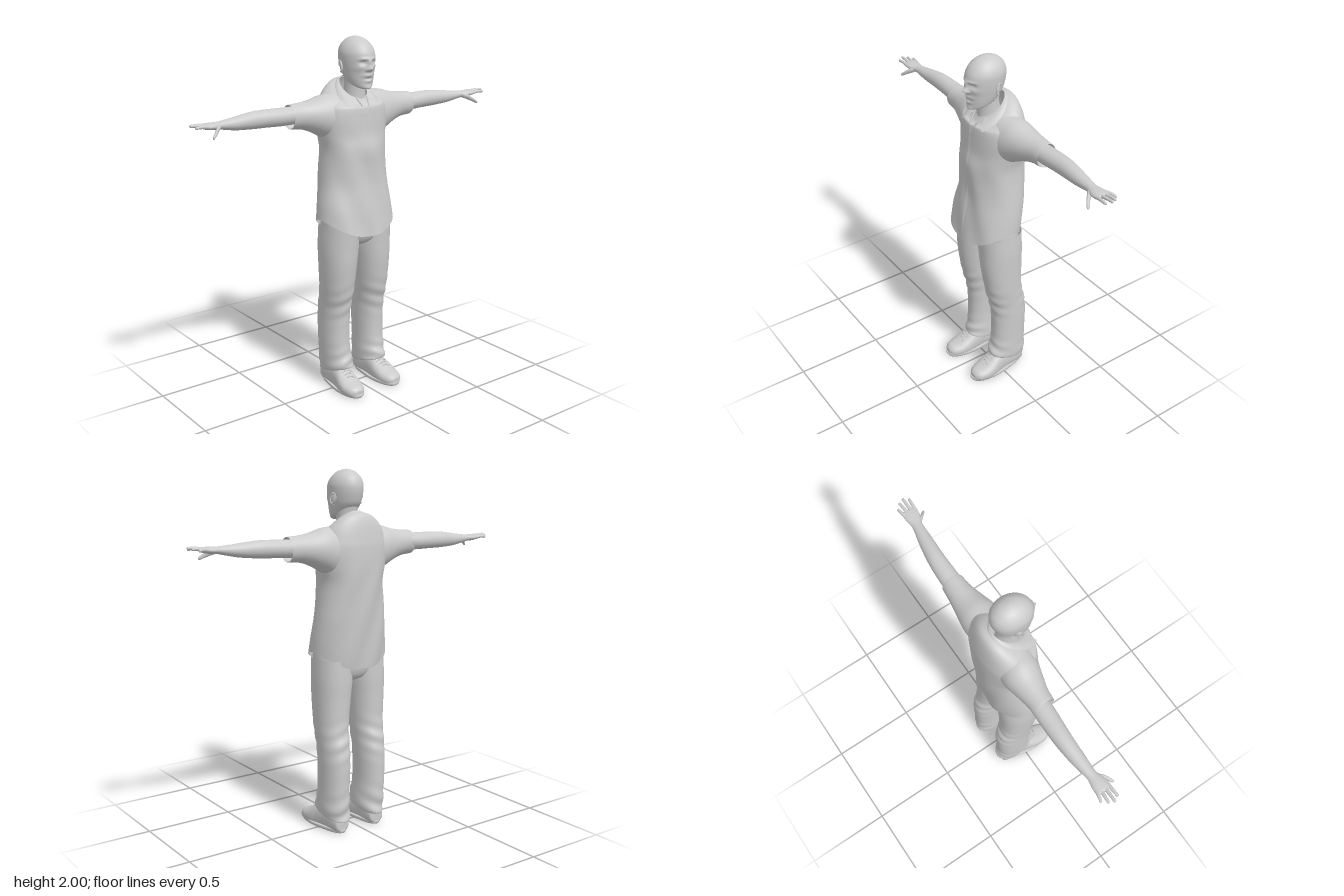
import * as THREE from 'three';

const mat = new THREE.MeshStandardMaterial({ color: 0xcccccc, side: THREE.DoubleSide });
const { smoothstep, lerp } = THREE.MathUtils;
const gauss = (d, s) => Math.exp(-((d / s) ** 2));

// Smooth value of a section list at position k (in section units)
function sample(sections, k) {
  const n = sections.length - 1;
  const i = Math.min(Math.floor(k), n - 1), f = k - i;
  const at = (j) => sections[Math.max(0, Math.min(n, j))];
  const [a, b, c, d] = [at(i - 1), at(i), at(i + 1), at(i + 2)];
  return b.map((p, m) => p + 0.5 * f * (c[m] - a[m] + f * (2 * a[m] - 5 * p + 4 * c[m] - d[m]
    + f * (3 * (p - c[m]) + d[m] - a[m]))));
}

// Grid surface from a function (u, v in 0..1) that returns [x, y, z]
function grid(nu, nv, fn, { wrap = false, flip = false } = {}) {
  const pos = [], idx = [], cols = wrap ? nv : nv + 1;
  for (let i = 0; i <= nu; i++) for (let j = 0; j < cols; j++) pos.push(...fn(i / nu, j / nv));
  for (let i = 0; i < nu; i++) for (let j = 0; j < nv; j++) {
    const k = (j + 1) % cols;
    const a = i * cols + j, b = a + cols, c = i * cols + k, d = c + cols;
    idx.push(...(flip ? [a, c, b, b, c, d] : [a, b, c, c, b, d]));
  }
  const g = new THREE.BufferGeometry();
  g.setAttribute('position', new THREE.Float32BufferAttribute(pos, 3));
  g.setIndex(idx);
  g.computeVertexNormals();
  return g;
}

function add(parent, name, geometry) {
  const mesh = new THREE.Mesh(geometry, mat);
  mesh.name = name;
  parent.add(mesh);
  return mesh;
}

// Loft of sections [t, centre1, centre2, radius1, radius2] along an axis
function loft(sections, { axis = 'y', side = 1, sub = 5, seg = 32, n = 2, cap0 = false, cap1 = false, tweak } = {}) {
  const last = sections.length - 1, rows = last * sub;
  const extra0 = cap0 ? 1 : 0, total = rows + extra0 + (cap1 ? 1 : 0);
  const pw = (v) => Math.sign(v) * Math.abs(v) ** (2 / n);
  return grid(total, seg, (u, v) => {
    const row = Math.round(u * total) - extra0;
    const shut = row < 0 || row > rows ? 0 : 1;
    const [t, c1, c2, r1, r2] = sample(sections, Math.max(0, Math.min(rows, row)) / sub);
    const th = v * Math.PI * 2;
    const p = c1 + shut * r1 * pw(Math.cos(th)), q = c2 + shut * r2 * pw(Math.sin(th));
    const w = axis === 'y' ? new THREE.Vector3(p, t, q) : axis === 'x' ? new THREE.Vector3(t, p, q) : new THREE.Vector3(p, q, t);
    if (tweak) tweak(w);
    return [w.x * side, w.y, w.z];
  }, { wrap: true, flip: (axis !== 'y') !== (side < 0) });
}

function tube(points, r, seg = 24) {
  return new THREE.TubeGeometry(new THREE.CatmullRomCurve3(points.map((p) => new THREE.Vector3(...p))), seg, r, 6);
}

const TORSO = [
  [1.02, -0.008, -0.002, 0.23, 0.163], [1.1, -0.005, -0.015, 0.223, 0.16], [1.2, 0, -0.03, 0.207, 0.155],
  [1.3, 0, -0.035, 0.195, 0.155], [1.4, 0, -0.037, 0.188, 0.157], [1.48, 0, -0.045, 0.2, 0.15],
  [1.56, 0, -0.047, 0.212, 0.146], [1.62, 0, -0.047, 0.205, 0.141], [1.665, 0, -0.045, 0.18, 0.128],
  [1.7, 0, -0.042, 0.13, 0.104], [1.725, 0, -0.03, 0.075, 0.075]];

// Curved hem, raised back of the neck and soft cloth folds
function shirtShape(v) {
  v.y -= 0.09 * Math.min(1, (v.z / 0.16) ** 2) * (1 - smoothstep(v.y, 1.02, 1.22));
  v.y -= 0.65 * (v.z + 0.03) * smoothstep(v.y, 1.62, 1.725);
  v.z += 0.004 * Math.sin(v.x * 38 + v.y * 14) * smoothstep(1.55 - v.y, 0, 0.2);
}

// Head bumps: [x, y, width, height, depth]
const FACE = [
  [0, 1.868, 0.012, 0.022, 0.012], [0, 1.838, 0.013, 0.013, 0.028], [0.014, 1.832, 0.008, 0.007, 0.011],
  [0.034, 1.868, 0.016, 0.011, -0.014], [0.034, 1.867, 0.01, 0.006, 0.006], [0.03, 1.888, 0.026, 0.008, 0.006],
  [0.05, 1.84, 0.02, 0.015, 0.004], [0, 1.806, 0.03, 0.008, 0.008], [0, 1.794, 0.024, 0.004, -0.005],
  [0, 1.784, 0.018, 0.005, 0.006], [0, 1.752, 0.03, 0.016, 0.011]];

function buildHead(g) {
  const head = [
    [1.745, 0, 0.03, 0.045, 0.06], [1.755, 0, 0.023, 0.062, 0.08], [1.78, 0, 0.018, 0.073, 0.092],
    [1.81, 0, 0.013, 0.08, 0.1], [1.845, 0, 0.009, 0.086, 0.109], [1.885, 0, 0.005, 0.09, 0.114],
    [1.92, 0, 0.002, 0.089, 0.111], [1.955, 0, -0.002, 0.075, 0.094], [1.982, 0, -0.004, 0.05, 0.064],
    [1.995, 0, -0.005, 0.025, 0.032], [2, 0, -0.005, 0.004, 0.005]];
  add(g, 'head', loft(head, {
    sub: 9, seg: 96, cap0: true, cap1: true, tweak: (v) => {
      const front = smoothstep(v.z, 0, 0.07), low = 1 - smoothstep(v.y, 1.745, 1.83);
      const { x, y } = v;
      v.y -= low * (v.z - 0.03) * 0.3;
      for (const [bx, by, sx, sy, amp] of FACE) v.z += front * amp * gauss(Math.abs(x) - bx, sx) * gauss(y - by, sy);
    },
  }));
  add(g, 'neck', loft([[1.6, 0, -0.02, 0.065, 0.075], [1.68, 0, -0.018, 0.06, 0.066],
    [1.75, 0, -0.01, 0.057, 0.06], [1.82, 0, -0.01, 0.06, 0.07]]));
  for (const s of [-1, 1]) {
    const ear = new THREE.Group();
    ear.name = s > 0 ? 'leftEar' : 'rightEar';
    add(ear, 'earShell', new THREE.SphereGeometry(1, 16, 12).scale(0.007, 0.029, 0.016));
    add(ear, 'earRim', new THREE.TorusGeometry(0.018, 0.004, 8, 24, 5).rotateY(Math.PI / 2).scale(1, 1.6, 1)).position.x = s * 0.004;
    ear.position.set(s * 0.09, 1.845, -0.012);
    ear.rotation.set(-0.2, s * 0.35, 0);
    g.add(ear);
  }
}

function buildShirt(g) {
  add(g, 'shirtBody', loft(TORSO, { seg: 64, n: 2.2, sub: 6, tweak: shirtShape }));

  // Button strip down the front
  add(g, 'placket', grid(40, 4, (u, v) => {
    const [y, , cz, , rz] = sample(TORSO, u * 8);
    const w = new THREE.Vector3(-0.012 + (v - 0.5) * 0.03, y, cz + rz);
    shirtShape(w);
    return [w.x, w.y, w.z + 0.002 + 0.002 * Math.sin(v * Math.PI)];
  }, { flip: true }));
  for (const s of [-1, 1]) add(g, 'neckOpening', tube([[s * 0.036, 1.68, 0.046], [s * 0.022, 1.64, 0.083], [-0.004, 1.59, 0.1]], 0.004));

  // Folded collar that drops to two points
  add(g, 'collar', grid(64, 6, (u, v) => {
    const k = u * 2 - 1, a = k * 2.6, f = k ** 4;
    const x = Math.sin(a) * (0.075 + 0.042 * v) + Math.sign(k) * f * 0.032 * v;
    const y = 1.728 + 0.055 * Math.cos(a) - v * (0.032 + 0.02 * f);
    const z = -0.025 - Math.cos(a) * (0.075 + 0.03 * v) + f * 0.03 * v;
    return [x, y + 0.008 * Math.sin(v * Math.PI), z];
  }));

  // Short sleeves with a turned hem
  const sleeve = [
    [0.1, 1.58, -0.05, 0.125, 0.105], [0.16, 1.57, -0.055, 0.13, 0.105], [0.21, 1.58, -0.06, 0.114, 0.099],
    [0.28, 1.588, -0.065, 0.087, 0.083], [0.35, 1.594, -0.07, 0.071, 0.068], [0.415, 1.595, -0.07, 0.066, 0.061],
    [0.42, 1.595, -0.07, 0.063, 0.058], [0.41, 1.595, -0.07, 0.058, 0.053]];
  for (const s of [-1, 1]) {
    const reach = s > 0 ? 1 : 0.92;
    add(g, s > 0 ? 'leftSleeve' : 'rightSleeve', loft(sleeve.map(([x, ...r]) => [x * reach, ...r]), { axis: 'x', side: s, seg: 40 }));
  }
}

function buildArm(g, s) {
  const arm = new THREE.Group();
  arm.name = s > 0 ? 'leftArm' : 'rightArm';
  // The right arm sits further back and a little lower at the hand
  const place = (v) => {
    const k = smoothstep(v.x, 0.3, 0.95);
    if (s < 0) { v.z -= lerp(0.012, 0.045, k); v.y -= 0.018 * k; }
  };
  const part = (name, sections, opts) => add(arm, name, loft(sections, { axis: 'x', side: s, tweak: place, ...opts }));
  part('arm', [
    [0.3, 1.6, -0.07, 0.046, 0.05], [0.42, 1.6, -0.07, 0.048, 0.052], [0.52, 1.604, -0.069, 0.047, 0.049],
    [0.6, 1.606, -0.065, 0.045, 0.045], [0.7, 1.606, -0.054, 0.035, 0.038], [0.78, 1.61, -0.044, 0.023, 0.029],
    [0.81, 1.612, -0.039, 0.019, 0.031], [0.85, 1.614, -0.035, 0.018, 0.041], [0.885, 1.617, -0.034, 0.014, 0.041],
    [0.895, 1.618, -0.034, 0.008, 0.036]], { cap1: true });
  // Four fingers: knuckle z, tip z, tip x, tip y
  const fingers = [[-0.065, -0.078, 0.928, 1.617], [-0.045, -0.052, 0.953, 1.624], [-0.023, -0.024, 0.965, 1.628], [-0.002, 0.004, 0.95, 1.62]];
  for (const [z0, z1, x1, y1] of fingers) {
    part('finger', [0, 0.35, 0.7, 0.95, 1].map((k) => {
      const r = lerp(0.0105, 0.007, k) * (k === 1 ? 0.4 : 1);
      return [lerp(0.87, x1, k), lerp(1.616, y1, k) + 0.004 * Math.sin(k * Math.PI), lerp(z0, z1, k), r, r];
    }), { seg: 12, sub: 3, cap1: true });
  }
  part('thumb', [[0.805, 1.608, -0.022, 0.014, 0.014], [0.83, 1.597, 0.002, 0.015, 0.014], [0.85, 1.583, 0.022, 0.012, 0.011],
    [0.868, 1.57, 0.035, 0.009, 0.009], [0.874, 1.566, 0.038, 0.004, 0.004]], { seg: 14, cap1: true });
  g.add(arm);
}

function buildTrousers(g) {
  add(g, 'seat', loft([[0.85, 0.004, -0.02, 0.03, 0.06], [0.875, 0.004, -0.02, 0.12, 0.1], [0.92, 0.004, -0.018, 0.195, 0.122],
    [0.98, 0, -0.015, 0.208, 0.13], [1.06, 0, -0.015, 0.2, 0.13]], { cap0: true, seg: 48, n: 2.3 }));
  const leg = [
    [0.095, 0.12, -0.05, 0.07, 0.112], [0.105, 0.121, -0.052, 0.077, 0.12], [0.15, 0.122, -0.058, 0.079, 0.113],
    [0.25, 0.122, -0.065, 0.077, 0.106], [0.4, 0.121, -0.067, 0.079, 0.107], [0.5, 0.12, -0.055, 0.081, 0.108],
    [0.6, 0.119, -0.033, 0.088, 0.11], [0.75, 0.115, -0.022, 0.098, 0.12], [0.86, 0.11, -0.02, 0.105, 0.125], [0.98, 0.105, -0.015, 0.105, 0.128]];
  for (const s of [-1, 1]) {
    add(g, s > 0 ? 'leftTrouserLeg' : 'rightTrouserLeg', loft(leg, {
      side: s, seg: 40, sub: 8, n: 2.2, tweak: (v) => {
        const low = 1 - smoothstep(v.y, 0.1, 0.3);
        v.x += s * 0.009 * (1 - smoothstep(v.y, 0.4, 0.85)) - (s < 0 ? 0.008 * low : 0);
        // Bunched cloth above the shoe and creases at the knee
        const crease = 0.006 * low + 0.004 * gauss(v.y - 0.52, 0.1);
        v.z += crease * Math.sin(v.y * 75 + v.x * 30);
        v.y += low * (v.z + 0.05) * 0.25;
      },
    }));
  }
}

function buildShoe(g, s) {
  const shoe = new THREE.Group();
  shoe.name = s > 0 ? 'leftShoe' : 'rightShoe';
  add(shoe, 'upper', loft([
    [-0.155, 0, 0.045, 0.03, 0.03], [-0.145, 0, 0.05, 0.045, 0.048], [-0.1, 0, 0.06, 0.052, 0.07], [-0.03, 0, 0.065, 0.054, 0.08],
    [0.03, 0, 0.055, 0.06, 0.076], [0.08, 0.002, 0.042, 0.066, 0.058], [0.13, 0.003, 0.033, 0.064, 0.042],
    [0.175, 0.003, 0.028, 0.048, 0.032], [0.195, 0.002, 0.026, 0.022, 0.016]], {
    axis: 'z', side: s, cap0: true, cap1: true, n: 2.3, tweak: (v) => { v.y = Math.max(v.y, 0.008); },
  }));
  add(shoe, 'sole', loft([[0, 0, 0.022, 0.064, 0.176], [0.01, 0, 0.022, 0.069, 0.181], [0.02, 0, 0.022, 0.067, 0.179]], {
    side: s, cap0: true, cap1: true, n: 2.4, seg: 40, sub: 2, tweak: (v) => {
      v.x *= 1 - 0.17 * (1 - smoothstep(v.z, -0.08, 0.06));
    },
  }));
  // Laces across the tongue
  for (let i = 0; i < 4; i++) {
    const z = 0.04 + i * 0.018, y = 0.132 - i * 0.012;
    add(shoe, 'lace', tube([[-0.03, y - 0.013, z], [0, y, z + 0.005], [0.03, y - 0.013, z + (i % 2 ? 0.012 : -0.006)]], 0.0035, 10));
  }
  shoe.position.x = s > 0 ? 0.134 : -0.115;
  shoe.rotation.y = s * 0.04;
  g.add(shoe);
}

export function createModel() {
  const g = new THREE.Group();
  g.name = 'standingMan';
  buildHead(g);
  buildShirt(g);
  buildTrousers(g);
  for (const s of [-1, 1]) {
    buildArm(g, s);
    buildShoe(g, s);
  }
  return g;
}
